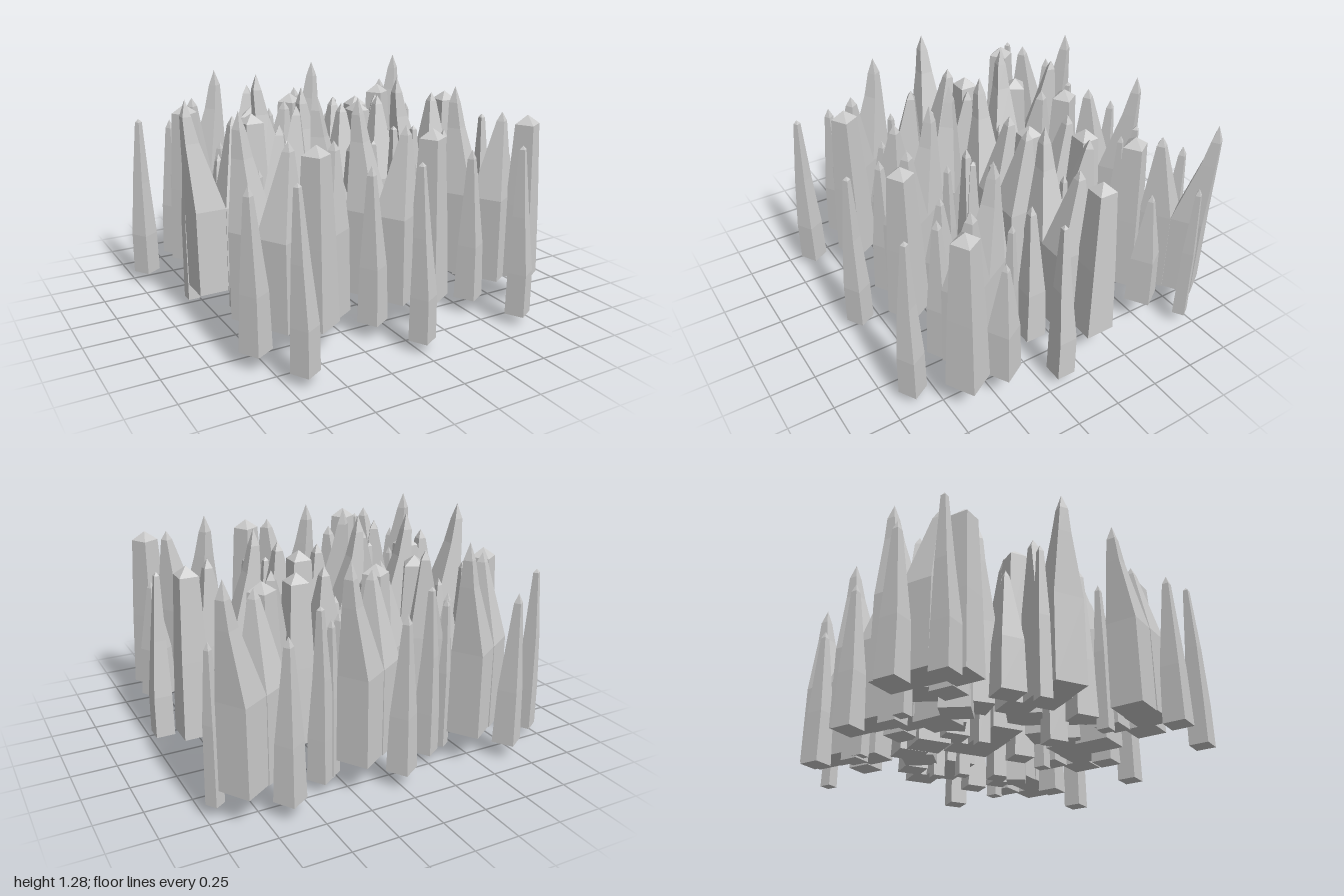
import * as THREE from 'three';

const material = new THREE.MeshStandardMaterial({ color: 0xcccccc, flatShading: true });

// Spike profiles from base to tip: [height, half width, lean x, lean z]
const profiles = {
  taperedSpike: [[0.17, 0.094, 0, 0], [0.64, 0.088, 0, 0], [1.06, 0.022, 0.02, -0.045], [1.11, 0, 0.02, -0.045]],
  columnSpike: [[0.17, 0.083, 0, 0], [0.6, 0.07, 0, 0], [1.05, 0.051, 0, 0], [1.1, 0, 0, 0]],
  bentSpike: [[0.17, 0.088, 0, 0], [0.64, 0.085, -0.005, 0], [1.0, 0.038, -0.066, -0.018], [1.14, 0.024, -0.083, -0.02], [1.23, 0, -0.083, -0.02]],
  mediumSpike: [[0.165, 0.07, 0, 0], [0.45, 0.062, 0, 0], [0.82, 0.015, 0, -0.01], [0.86, 0, 0, -0.01]],
  thinSpike: [[0.07, 0.034, 0, 0], [0.5, 0.03, 0, 0], [0.87, 0.014, 0, 0], [0.91, 0, 0, 0]],
  shortSpike: [[0.09, 0.06, 0, 0], [0.4, 0.052, 0, 0], [0.89, 0.018, -0.01, 0.01], [0.94, 0, -0.01, 0.01]],
  slimSpike: [[0.06, 0.053, 0, 0], [0.3, 0.051, 0, 0], [0.62, 0.034, -0.012, 0.01], [0.98, 0.014, -0.025, 0.01], [1.0, 0, -0.025, 0.01]],
};

// Box whose rows of vertices follow the profile
function spikeGeometry(rings) {
  const rows = rings.length - 1;
  const geometry = new THREE.BoxGeometry(2, rows, 2, 1, rows, 1);
  const p = geometry.attributes.position;
  for (let i = 0; i < p.count; i++) {
    const [y, half, dx, dz] = rings[Math.round(p.getY(i) + rows / 2)];
    p.setXYZ(i, p.getX(i) * half + dx, y, p.getZ(i) * half + dz);
  }
  geometry.computeVertexNormals();
  return geometry;
}

const geometries = {};
for (const name in profiles) geometries[name] = spikeGeometry(profiles[name]);

function addSpike(parent, name, x, z, degrees = 0, y = 0) {
  const mesh = new THREE.Mesh(geometries[name], material);
  mesh.name = name;
  mesh.position.set(x, y, z);
  mesh.rotation.y = -THREE.MathUtils.degToRad(degrees);
  parent.add(mesh);
}

// One clump of seven spikes
const clumpLayout = [
  ['taperedSpike', 0, 0], ['columnSpike', 0.15, -0.088], ['bentSpike', -0.167, 0],
  ['mediumSpike', 0, -0.21], ['thinSpike', -0.222, -0.138],
  ['shortSpike', -0.042, 0.177], ['slimSpike', 0.25, 0.182],
];

// Clump centres and turns within each column
const clumpPlaces = [[-0.61, -0.035, 0], [-0.623, 0.563, 60], [-0.62, -0.685, 147]];

// Loose spikes filling the middle: name, x, z, turn, height shift
const fillers = [
  ['taperedSpike', -0.31, -0.58, 30, 0.05], ['taperedSpike', -0.16, -0.425, 60, -0.03],
  ['columnSpike', -0.34, -0.4, 30, -0.03], ['bentSpike', -0.267, -0.268, 7, 0.05],
  ['mediumSpike', -0.1, -0.32, 20, 0], ['taperedSpike', 0.18, -0.343, 0, -0.03],
  ['columnSpike', 0.36, -0.39, 0, -0.03], ['taperedSpike', 0.43, -0.303, 30, -0.03],
  ['taperedSpike', 0.283, 0, 0, 0.03], ['taperedSpike', -0.28, 0.018, 30, 0.03],
  ['bentSpike', -0.15, 0.21, 45, 0], ['taperedSpike', -0.503, 0.265, 30, 0],
  ['taperedSpike', -0.312, 0.453, 60, -0.06], ['slimSpike', 0.165, 0.19, 30, -0.06],
  ['slimSpike', 0.415, 0.195, 0, 0], ['mediumSpike', -0.25, 0.29, 30, -0.04],
  ['thinSpike', 0.42, -0.035, 0, 0.01],
];

export function createModel() {
  const model = new THREE.Group();
  model.name = 'spikeField';

  // Three columns of three turned clumps
  for (const shift of [0, 0.674, 1.305]) {
    for (const [x, z, degrees] of clumpPlaces) {
      const clump = new THREE.Group();
      clump.name = 'spikeClump';
      for (const [name, dx, dz] of clumpLayout) addSpike(clump, name, dx, dz);
      clump.position.set(x + shift, 0, z);
      clump.rotation.y = -THREE.MathUtils.degToRad(degrees);
      model.add(clump);
    }
  }

  // Middle fillers
  const middle = new THREE.Group();
  middle.name = 'middleSpikes';
  for (const filler of fillers) addSpike(middle, ...filler);
  model.add(middle);
  return model;
}
